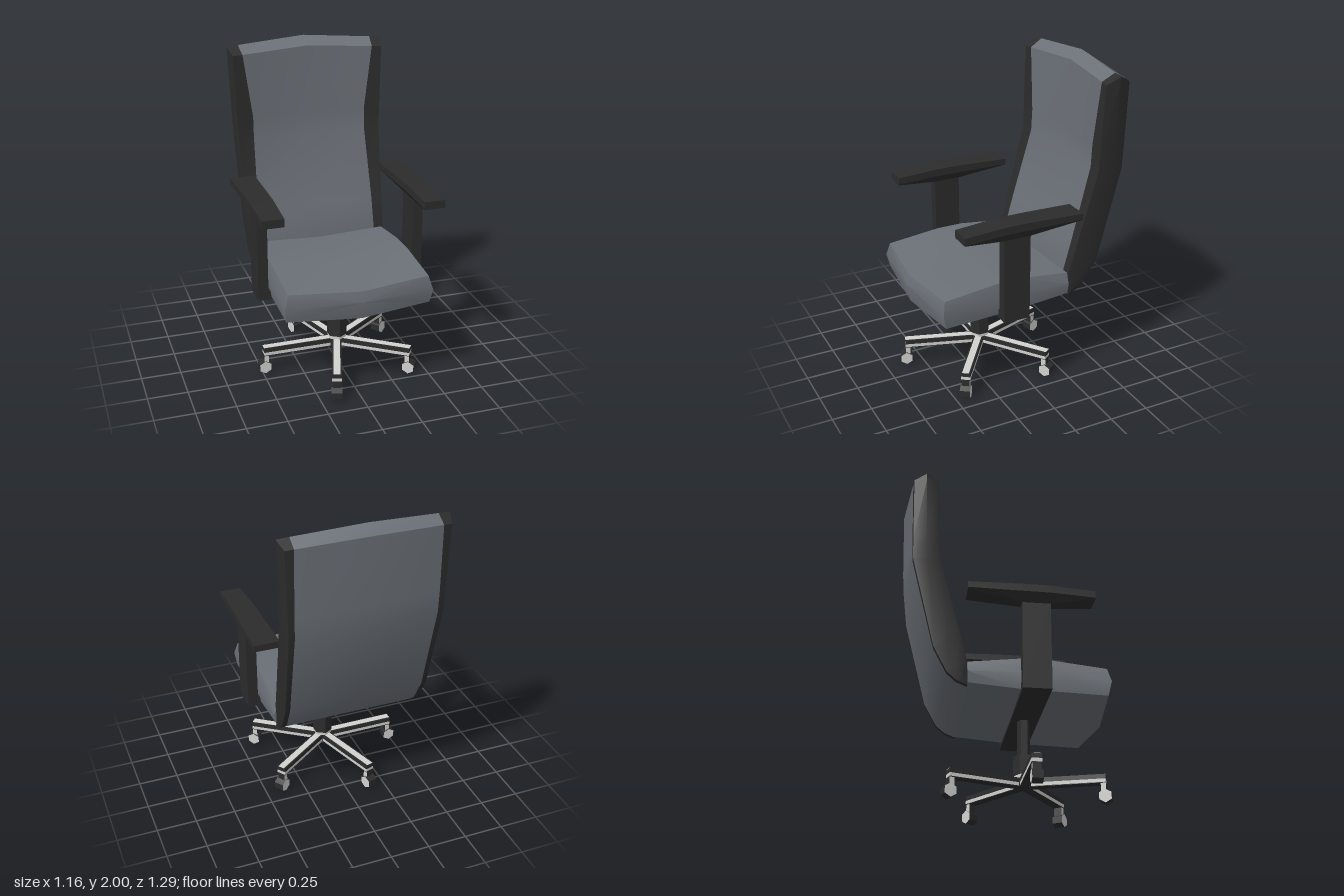
import * as THREE from 'three';
import { toCreasedNormals } from 'three/addons/utils/BufferGeometryUtils.js';

const fabric = new THREE.MeshStandardMaterial({ color: 0x6b7077 });
fabric.name = 'grey fabric';
const dark = new THREE.MeshStandardMaterial({ color: 0x2c2c2c });
dark.name = 'black plastic';
const chrome = new THREE.MeshStandardMaterial({ color: 0xd2d2d0 });
chrome.name = 'chrome';

// Skin a grid of points: columns run rightward and rows upward as seen from outside.
function patch(rows) {
  const pos = [];
  const tri = (a, b, c) => {
    const area = b.clone().sub(a).cross(c.clone().sub(a)).length();
    if (area > 1e-7) for (const p of [a, b, c]) pos.push(p.x, p.y, p.z);
  };
  const v = rows.map((r) => r.map((p) => new THREE.Vector3(...p)));
  for (let i = 0; i + 1 < v.length; i++) {
    for (let j = 0; j + 1 < v[i].length; j++) {
      tri(v[i][j], v[i][j + 1], v[i + 1][j + 1]);
      tri(v[i][j], v[i + 1][j + 1], v[i + 1][j]);
    }
  }
  const g = new THREE.BufferGeometry();
  g.setAttribute('position', new THREE.Float32BufferAttribute(pos, 3));
  return toCreasedNormals(g, 0.5);
}

// Closed rings skinned together, with both ends drawn in to a centre point.
function loft(rings, start, end) {
  const closed = rings.map((r) => [...r, r[0]]);
  const fan = (p) => closed[0].map(() => p);
  return patch([fan(start), ...closed, fan(end)]);
}

function add(parent, name, geometry, material, x = 0, y = 0, z = 0) {
  const m = new THREE.Mesh(geometry, material);
  m.name = name;
  m.position.set(x, y, z);
  parent.add(m);
  return m;
}

const box = (x, y, z) => new THREE.BoxGeometry(x, y, z);
const flip = ([x, y, z]) => [-x, y, z];

function buildSeat(parent) {
  // z at side, z at centre, then heights: top side, top centre, bottom side, bottom centre
  const sections = [
    [-0.245, -0.245, 0.735, 0.715, 0.6, 0.585],
    [0.065, 0.065, 0.772, 0.75, 0.575, 0.56],
    [0.235, 0.235, 0.772, 0.75, 0.57, 0.553],
    [0.578, 0.622, 0.735, 0.715, 0.56, 0.54],
  ];
  const rings = sections.map(([zs, zc, ts, tc, bs, bc], i) => {
    const top = [0.44, ts, zs];
    const mid = [0.465, (ts + bs) / 2, zs + (i === 3 ? 0.02 : 0)];
    const low = [0.452, bs, zs];
    return [top, [0, tc, zc], flip(top), flip(mid), flip(low), [0, bc, zc], low, mid];
  });
  add(parent, 'seat cushion', loft(rings, [0, 0.65, -0.245], [0, 0.65, 0.642]), fabric);
}

function buildBackrest(parent) {
  // front z,y / back z,y / centre shift front z, back z, y / half widths: outer, edge, front border, back border
  const sections = [
    [-0.245, 0.585, -0.245, 0.585, 0, 0, 0, 0.455, 0.45, 0.39, 0.42],
    [-0.245, 0.66, -0.31, 0.612, 0, 0, 0, 0.46, 0.45, 0.39, 0.42],
    [-0.248, 0.735, -0.365, 0.66, 0, 0, 0, 0.465, 0.455, 0.39, 0.425],
    [-0.297, 0.92, -0.445, 0.81, -0.01, -0.01, 0, 0.47, 0.46, 0.39, 0.43],
    [-0.42, 1.38, -0.583, 1.38, -0.03, -0.037, 0, 0.49, 0.475, 0.376, 0.44],
    [-0.425, 1.52, -0.587, 1.52, -0.035, -0.042, 0, 0.497, 0.48, 0.376, 0.442],
    [-0.44, 1.92, -0.595, 1.925, -0.05, -0.045, 0.025, 0.513, 0.492, 0.43, 0.44],
    [-0.52, 1.965, -0.52, 1.965, -0.045, -0.045, 0.035, 0.515, 0.515, 0.44, 0.44],
  ];
  const front = [], back = [], left = [], right = [];
  for (const [fz, fy, bz, by, df, db, dy, xo, xe, xf, xb] of sections) {
    const kf = 1 - xf / xe, kb = 1 - xb / xe;
    const fBorder = [xf, fy + dy * kf, fz + df * kf];
    const bBorder = [xb, by + dy * kb, bz + db * kb];
    const rim = [fBorder, [xe, fy, fz], [xo, (fy + by) / 2, (fz + bz) / 2], [xe, by, bz], bBorder];
    front.push([flip(fBorder), [0, fy + dy, fz + df], fBorder]);
    back.push([bBorder, [0, by + dy, bz + db], flip(bBorder)]);
    left.push(rim);
    right.push(rim.map(flip).reverse());
  }
  add(parent, 'backrest front', patch(front), fabric);
  add(parent, 'backrest rear', patch(back), fabric);
  add(parent, 'left backrest side', patch(left), dark);
  add(parent, 'right backrest side', patch(right), dark);
}

function buildArmrests(parent) {
  // z / inner and outer x / top, side and bottom heights / bottom inner and outer x
  const sections = [
    [-0.26, 0.42, 0.58, 1.187, 1.15, 1.145, 0.425, 0.575],
    [0.065, 0.425, 0.573, 1.197, 1.15, 1.095, 0.47, 0.535],
    [0.235, 0.427, 0.57, 1.197, 1.15, 1.095, 0.47, 0.535],
    [0.5, 0.432, 0.566, 1.18, 1.137, 1.13, 0.436, 0.562],
  ];
  for (const s of [1, -1]) {
    const rings = sections.map(([z, xi, xo, t, m, b, bi, bo]) => {
      const ring = [[xo, t, z], [xi, t, z], [xi, m, z], [bi, b, z], [bo, b, z], [xo, m, z]];
      return s > 0 ? ring : ring.map(flip).reverse();
    });
    const side = s > 0 ? 'left' : 'right';
    add(parent, side + ' armrest pad', loft(rings, [s * 0.5, 1.165, -0.26], [s * 0.5, 1.157, 0.5]), dark);
    add(parent, side + ' armrest post', box(0.065, 0.55, 0.17), dark, s * 0.502, 0.825, 0.15);
  }
  add(parent, 'armrest crossbar', box(1.06, 0.06, 0.17), dark, 0, 0.58, 0.15);
}

function buildBase(parent) {
  const base = new THREE.Group();
  base.name = 'swivel base';
  base.position.z = 0.145;
  parent.add(base);
  const tube = (r, h) => toCreasedNormals(new THREE.CylinderGeometry(r, r, h, 6), 0.5);
  add(base, 'gas lift', tube(0.039, 0.28), dark, 0, 0.44, 0);
  add(base, 'lift sleeve', tube(0.065, 0.12), dark, 0, 0.26, 0);
  add(base, 'sleeve collar', tube(0.06, 0.025), chrome, 0, 0.19, 0);
  add(base, 'hub', tube(0.06, 0.054), dark, 0, 0.151, 0);

  const wheel = new THREE.CylinderGeometry(0.042, 0.042, 0.065, 6).toNonIndexed();
  wheel.computeVertexNormals();
  wheel.clearGroups();
  wheel.addGroup(0, 36, 0);
  wheel.addGroup(36, 36, 1);
  for (let i = 0; i < 5; i++) {
    const leg = new THREE.Group();
    leg.name = 'base leg ' + (i + 1);
    leg.rotation.y = Math.PI + (i * Math.PI * 2) / 5;
    base.add(leg);
    add(leg, 'leg underside', box(0.49, 0.004, 0.06), dark, 0.245, 0.127, 0);
    add(leg, 'leg trim', box(0.49, 0.021, 0.06), chrome, 0.245, 0.1395, 0);
    add(leg, 'leg beam', box(0.49, 0.028, 0.06), dark, 0.245, 0.164, 0);
    add(leg, 'leg top strip', box(0.48, 0.004, 0.042), chrome, 0.25, 0.178, 0);
    // Stem is chrome on its flanks, black elsewhere
    add(leg, 'caster stem', box(0.03, 0.07, 0.05), [dark, dark, dark, dark, chrome, chrome], 0.475, 0.095, 0);
    add(leg, 'caster wheel', wheel, [dark, chrome], 0.485, 0.045, 0).rotation.x = Math.PI / 2;
  }
}

export function createModel() {
  const chair = new THREE.Group();
  chair.name = 'office chair';
  buildSeat(chair);
  buildBackrest(chair);
  buildArmrests(chair);
  buildBase(chair);
  return chair;
}
